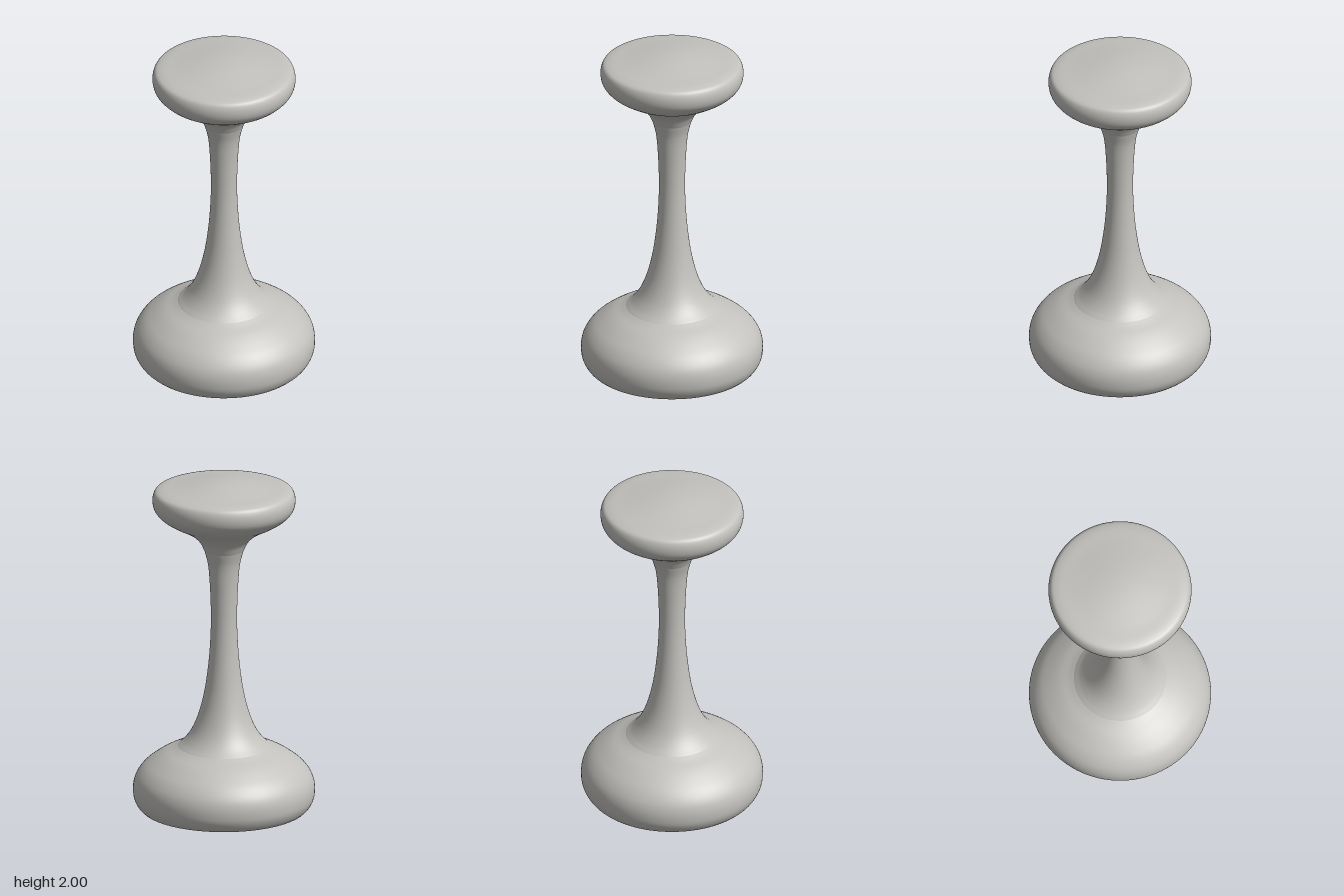
import * as THREE from 'three';

const SIDES = 96;

// Turned part: smooth surface of revolution through [radius, height] points, bottom to top
function turned(name, profile, steps, material) {
  const curve = new THREE.CatmullRomCurve3(profile.map(([r, y]) => new THREE.Vector3(r, y, 0)), false, 'centripetal');
  const points = curve.getPoints(steps).map(p => new THREE.Vector2(Math.max(p.x, 0), p.y));
  const mesh = new THREE.Mesh(new THREE.LatheGeometry(points, SIDES), material);
  mesh.name = name;
  return mesh;
}

export function createModel() {
  const group = new THREE.Group();
  group.name = 'turnedPedestal';
  const stone = new THREE.MeshStandardMaterial({ color: 0xc2c1bd });
  stone.name = 'warmGrey';

  // Flat underside
  const underside = new THREE.Mesh(new THREE.CircleGeometry(0.485, SIDES), stone);
  underside.name = 'underside';
  underside.rotation.x = Math.PI / 2;
  group.add(underside);

  // Rounded foot, ending at the soft crease under the stem
  group.add(turned('foot', [
    [0.485, 0], [0.505, 0.02], [0.526, 0.06], [0.533, 0.1], [0.531, 0.15], [0.515, 0.2],
    [0.475, 0.255], [0.42, 0.3], [0.36, 0.338], [0.3, 0.366], [0.27, 0.382],
  ], 48, stone));

  // Flared, waisted stem
  group.add(turned('stem', [
    [0.27, 0.382], [0.235, 0.415], [0.195, 0.47], [0.155, 0.56], [0.118, 0.7], [0.092, 0.88],
    [0.079, 1.06], [0.077, 1.2], [0.083, 1.37], [0.095, 1.5], [0.115, 1.58],
  ], 80, stone));

  // Mushroom head with a shallow domed top
  group.add(turned('head', [
    [0.115, 1.58], [0.143, 1.635], [0.19, 1.682], [0.25, 1.72], [0.32, 1.757], [0.375, 1.795],
    [0.408, 1.835], [0.419, 1.875], [0.416, 1.915], [0.402, 1.942], [0.372, 1.955],
    [0.28, 1.969], [0.14, 1.99], [0.06, 1.998], [0, 2],
  ], 90, stone));

  return group;
}
